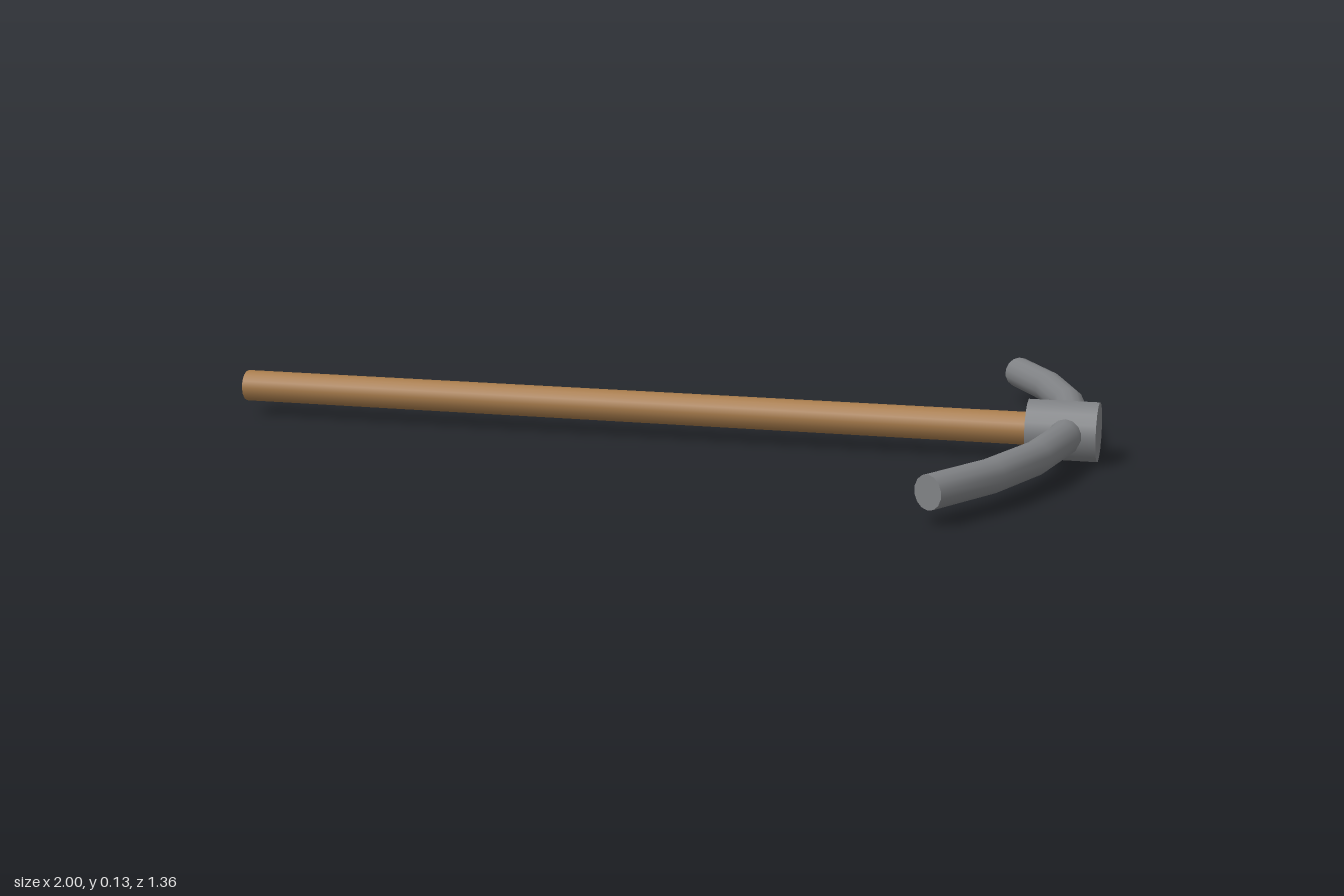
import * as THREE from 'three';

const AXIS_Y = 0.067;

// Cylinder lying along x between two ends
function rodX(name, x0, x1, radius, sides, material) {
  const geometry = new THREE.CylinderGeometry(radius, radius, x1 - x0, sides);
  geometry.rotateZ(-Math.PI / 2);
  const mesh = new THREE.Mesh(geometry, material);
  mesh.position.set((x0 + x1) / 2, AXIS_Y, 0);
  mesh.name = name;
  return mesh;
}

// Capped round bar bent along an arc in the ground plane, bulging towards +x
function bentBar(radius, bendRadius, arc, segments, sides) {
  const geometry = new THREE.CylinderGeometry(radius, radius, arc, sides, segments);
  const pos = geometry.attributes.position;
  const nor = geometry.attributes.normal;
  for (let i = 0; i < pos.count; i++) {
    const a = pos.getY(i), c = Math.cos(a), s = Math.sin(a);
    const r = bendRadius + pos.getX(i);
    const nx = nor.getX(i), ny = nor.getY(i), nz = nor.getZ(i);
    pos.setXYZ(i, r * c - bendRadius, -pos.getZ(i), r * s);
    nor.setXYZ(i, nx * c - ny * s, -nz, nx * s + ny * c);
  }
  return geometry;
}

export function createModel() {
  const wood = new THREE.MeshStandardMaterial({ color: 0xa87c4c });
  wood.name = 'wood';
  const metal = new THREE.MeshStandardMaterial({ color: 0x808285 });
  metal.name = 'metal';

  const group = new THREE.Group();
  group.name = 'pickaxe';

  // Handle, running into the collar
  group.add(rodX('handle', -1, 0.9, 0.036, 14, wood));

  // Collar joining handle and head
  group.add(rodX('collar', 0.847, 1, 0.066, 16, metal));

  // Curved head, both arms in one bar
  const head = new THREE.Mesh(bentBar(0.036, 1.19, 1.176, 7, 14), metal);
  head.position.set(0.938, AXIS_Y, 0);
  head.name = 'curvedHead';
  group.add(head);

  return group;
}
